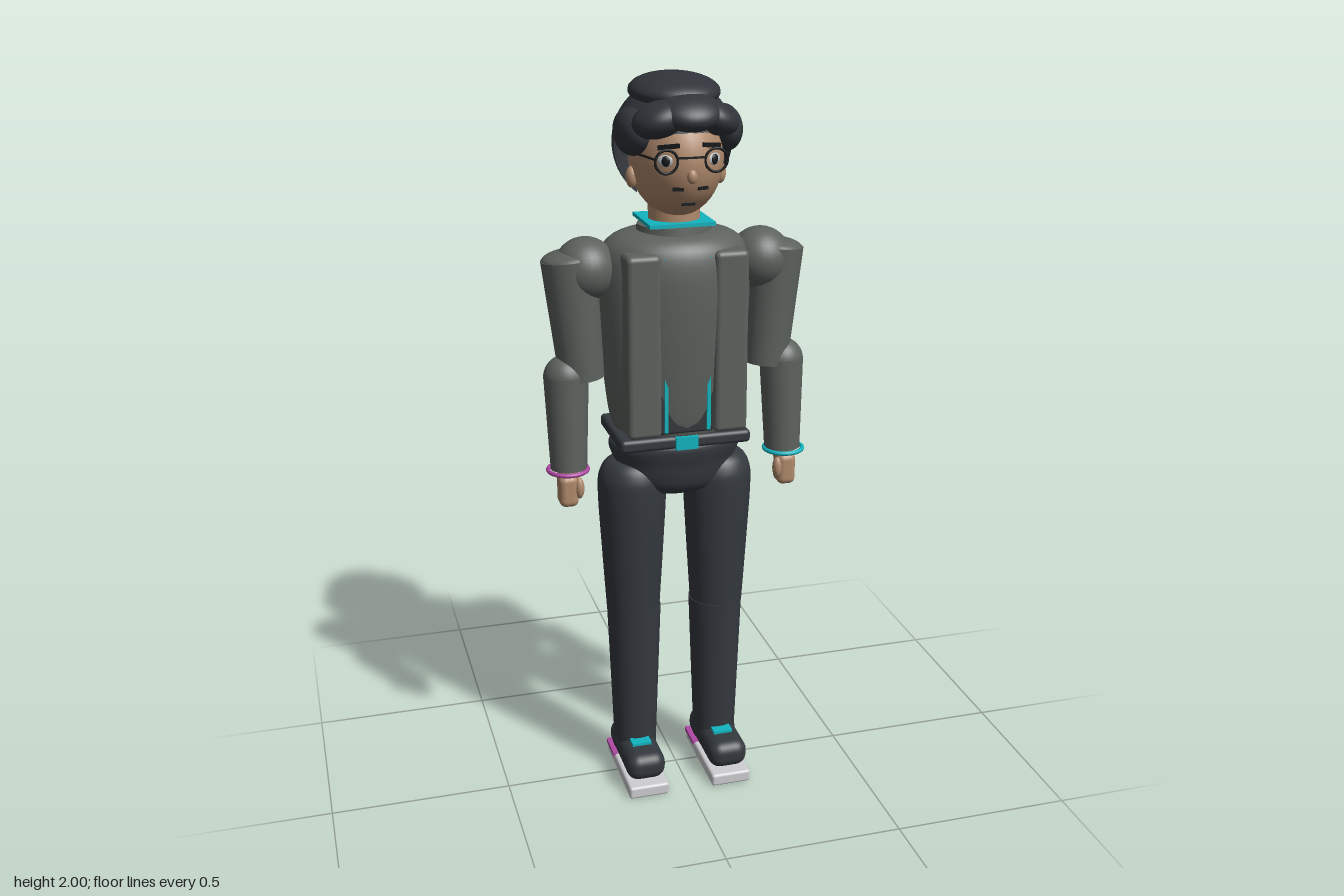
import * as THREE from 'three';
import { RoundedBoxGeometry } from 'three/addons/geometries/RoundedBoxGeometry.js';

const mat = (name, color, side = THREE.FrontSide) => {
  const m = new THREE.MeshStandardMaterial({ color, side });
  m.name = name;
  return m;
};

export function createModel() {
  const model = new THREE.Group();
  model.name = 'standingMan';

  const jacket = mat('jacketGrey', 0x5d625e);
  const trousers = mat('trouserSlate', 0x34393f);
  const hair = mat('hairCharcoal', 0x30343a, THREE.DoubleSide);
  const shirt = mat('shirtDark', 0x34383b);
  const skin = mat('skin', 0xb08a6c);
  const teal = mat('teal', 0x12b5c1);
  const magenta = mat('magenta', 0xb04aa5);
  const sole = mat('soleGrey', 0xcfcfd2);
  const ink = mat('ink', 0x17191c);
  const eyeWhite = mat('eyeGrey', 0xb9bcbd);

  const add = (name, geo, material, x = 0, y = 0, z = 0) => {
    const mesh = new THREE.Mesh(geo, material);
    mesh.name = name;
    mesh.position.set(x, y, z);
    model.add(mesh);
    return mesh;
  };
  const box = (name, m, w, h, d, x, y, z, r = 0) =>
    add(name, r ? new RoundedBoxGeometry(w, h, d, 4, r) : new THREE.BoxGeometry(w, h, d), m, x, y, z);
  const blob = (name, m, rx, ry, rz, x, y, z) => {
    const mesh = add(name, new THREE.SphereGeometry(1, 32, 22), m, x, y, z);
    mesh.scale.set(rx, ry, rz);
    return mesh;
  };
  // Smooth turned body through [radius, y] points
  const turned = (name, m, pts, x, z, sz) => {
    const curve = new THREE.SplineCurve(pts.map(p => new THREE.Vector2(...p)));
    const profile = curve.getPoints(40).map(p => new THREE.Vector2(Math.max(p.x, 0), p.y));
    const mesh = add(name, new THREE.LatheGeometry(profile, 40), m, x, 0, z);
    mesh.scale.z = sz;
    return mesh;
  };
  // Tapered cylinder between two points
  const limb = (name, m, a, b, ra, rb) => {
    const p = new THREE.Vector3(...a), q = new THREE.Vector3(...b);
    const mesh = add(name, new THREE.CylinderGeometry(rb, ra, p.distanceTo(q), 28), m);
    mesh.position.copy(p).add(q).multiplyScalar(0.5);
    mesh.quaternion.setFromUnitVectors(new THREE.Vector3(0, 1, 0), q.sub(p).normalize());
    return mesh;
  };

  // Torso, jacket front and collar
  turned('jacketBody', jacket, [[0, 1.045], [0.13, 1.045], [0.17, 1.075], [0.19, 1.2], [0.205, 1.4],
    [0.2, 1.53], [0.165, 1.585], [0.09, 1.605], [0, 1.607]], 0, -0.02, 0.77);
  limb('jacketCollar', jacket, [0, 1.57, -0.015], [0, 1.618, -0.015], 0.105, 0.098).scale.z = 0.92;
  box('collarTrim', teal, 0.175, 0.01, 0.18, 0, 1.626, -0.017);
  box('shirtFront', shirt, 0.15, 0.485, 0.05, 0, 1.32, 0.09, 0.008);

  // Belt and hips
  box('belt', trousers, 0.36, 0.036, 0.245, 0, 1.05, -0.012, 0.012);
  box('buckle', teal, 0.062, 0.036, 0.012, 0, 1.05, 0.111);
  turned('hips', trousers, [[0, 0.875], [0.09, 0.88], [0.145, 0.91], [0.168, 0.97], [0.172, 1.04], [0, 1.042]], 0, -0.01, 0.65);

  // Head and neck
  limb('neck', skin, [0, 1.58, -0.015], [0, 1.7, -0.015], 0.068, 0.068);
  blob('head', skin, 0.12, 0.153, 0.155, 0, 1.793, 0);
  blob('nose', skin, 0.013, 0.018, 0.012, 0, 1.765, 0.153);
  box('mouth', ink, 0.034, 0.006, 0.008, 0, 1.69, 0.119);
  box('glassesBridge', ink, 0.07, 0.005, 0.005, 0, 1.812, 0.153);

  // Hair: crown cap, back shell and overlapping locks
  add('hairCrown', new THREE.SphereGeometry(1, 40, 20, 0, Math.PI * 2, 0, 1.3), hair, 0, 1.825, -0.02).scale.set(0.158, 0.16, 0.16);
  add('hairBack', new THREE.SphereGeometry(1, 40, 30, Math.PI, Math.PI, 0, 2.5), hair, 0, 1.825, -0.02).scale.set(0.158, 0.16, 0.163);
  blob('topLock', hair, 0.117, 0.045, 0.13, 0, 1.955, -0.015).rotation.x = 0.06;
  blob('frontLock', hair, 0.085, 0.042, 0.08, 0.005, 1.918, 0.105).rotation.x = 0.3;
  blob('sweptLock', hair, 0.075, 0.045, 0.07, -0.065, 1.9, 0.092).rotation.z = 0.3;
  blob('sweptLock', hair, 0.07, 0.042, 0.07, 0.07, 1.9, 0.088).rotation.z = -0.4;

  for (const s of [-1, 1]) {
    const side = s > 0 ? 'left' : 'right';

    // Jacket panels
    box(side + 'JacketPanel', jacket, 0.092, 0.49, 0.085, s * 0.117, 1.32, 0.088, 0.015);
    box(side + 'ZipStrip', teal, 0.01, 0.47, 0.008, s * 0.058, 1.32, 0.117);

    // Hair sides and ears
    blob(side + 'SideLock', hair, 0.045, 0.06, 0.088, s * 0.12, 1.862, 0.02);
    blob(side + 'Ear', skin, 0.016, 0.028, 0.018, s * 0.117, 1.745, 0.005);

    // Face details
    blob(side + 'Eye', eyeWhite, 0.02, 0.015, 0.006, s * 0.063, 1.803, 0.131).rotation.y = s * 0.5;
    blob(side + 'Pupil', ink, 0.011, 0.013, 0.005, s * 0.063, 1.803, 0.135).rotation.y = s * 0.5;
    const brow = box(side + 'Brow', ink, 0.055, 0.011, 0.009, s * 0.055, 1.838, 0.133);
    brow.rotation.set(0, s * 0.45, -s * 0.12);
    box(side + 'Moustache', ink, 0.028, 0.008, 0.008, s * 0.032, 1.733, 0.138).rotation.y = s * 0.25;
    add(side + 'GlassesRim', new THREE.TorusGeometry(0.029, 0.0035, 8, 28), ink, s * 0.064, 1.803, 0.146);
    limb(side + 'GlassesArm', ink, [s * 0.093, 1.81, 0.145], [s * 0.118, 1.81, 0.02], 0.003, 0.003);

    // Arm
    blob(side + 'Shoulder', jacket, 0.083, 0.083, 0.085, s * 0.238, 1.51, -0.015);
    limb(side + 'UpperArm', jacket, [s * 0.256, 1.22, -0.005], [s * 0.283, 1.54, -0.014], 0.06, 0.073);
    blob(side + 'UpperArmCap', jacket, 0.071, 0.022, 0.073, s * 0.283, 1.54, -0.014).rotation.z = -s * 0.12;
    blob(side + 'Elbow', jacket, 0.06, 0.06, 0.06, s * 0.3, 1.225, 0);
    limb(side + 'Forearm', jacket, [s * 0.302, 0.975, 0.018], [s * 0.3, 1.23, 0], 0.049, 0.06);
    add(side + 'Bracelet', new THREE.TorusGeometry(0.053, 0.006, 10, 36), s > 0 ? teal : magenta, s * 0.305, 0.973, 0.02)
      .rotation.x = Math.PI / 2;
    limb(side + 'Wrist', skin, [s * 0.306, 0.93, 0.022], [s * 0.304, 0.99, 0.018], 0.026, 0.03);
    box(side + 'Hand', skin, 0.052, 0.09, 0.062, s * 0.308, 0.917, 0.025, 0.018);
    blob(side + 'Thumb', skin, 0.013, 0.03, 0.015, s * 0.28, 0.925, 0.045);

    // Leg
    turned(side + 'Thigh', trousers, [[0, 0.98], [0.06, 0.975], [0.088, 0.94], [0.094, 0.88], [0.086, 0.72], [0.074, 0.52]].reverse(),
      s * 0.122, -0.01, 1);
    limb(side + 'Shin', trousers, [s * 0.12, 0.08, -0.01], [s * 0.12, 0.53, -0.01], 0.06, 0.076);

    // Shoe
    box(side + 'Shoe', trousers, 0.112, 0.08, 0.255, s * 0.122, 0.08, 0.022, 0.034);
    blob(side + 'ShoeAnkle', trousers, 0.064, 0.05, 0.07, s * 0.121, 0.09, -0.018);
    box(side + 'ShoeTab', teal, 0.055, 0.012, 0.036, s * 0.122, 0.122, 0.062);
    box(side + 'Sole', sole, 0.115, 0.036, 0.275, s * 0.122, 0.019, 0.027, 0.008);
    box(side + 'HeelStripe', magenta, 0.121, 0.012, 0.088, s * 0.122, 0.034, -0.069);
  }
  return model;
}
